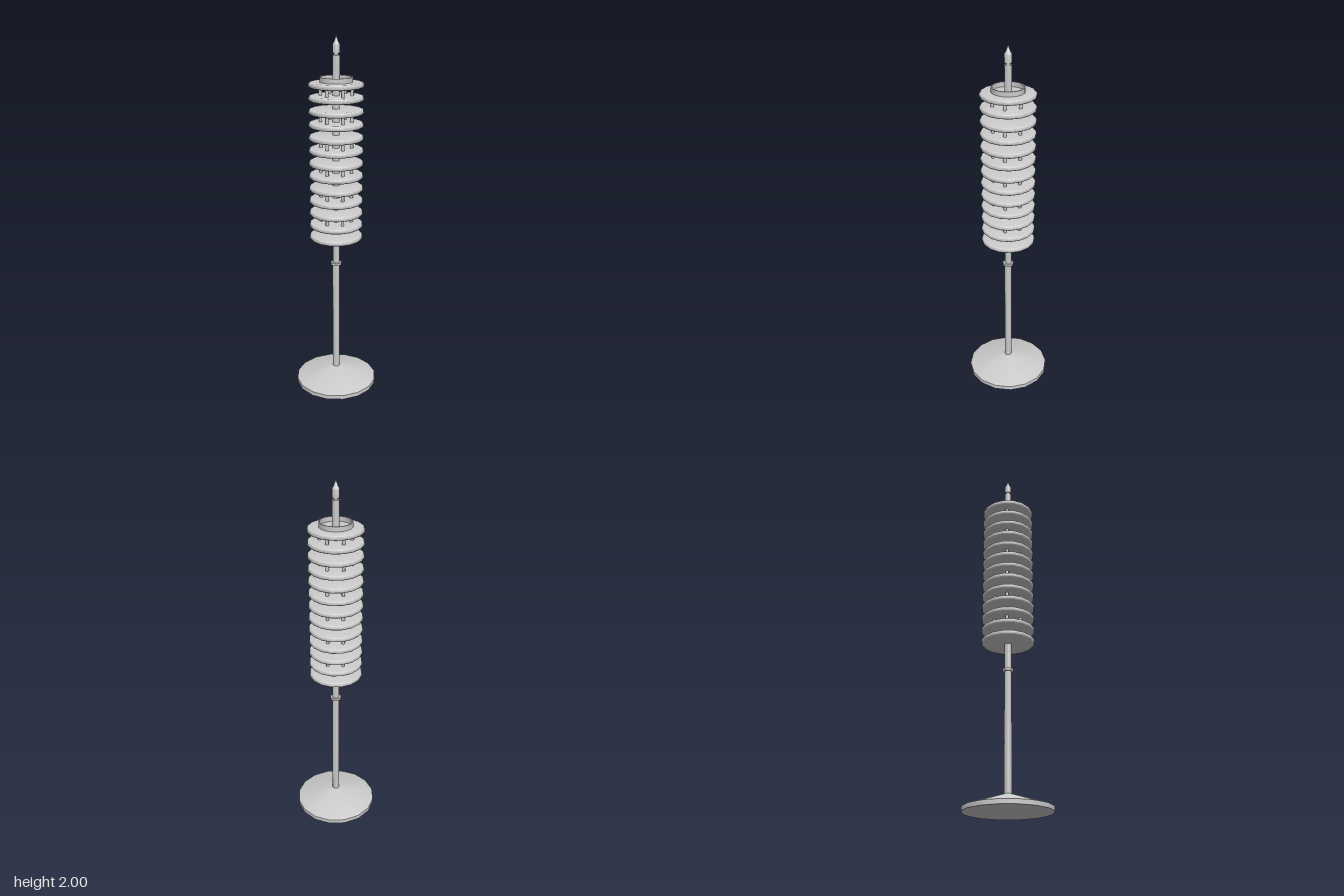
import * as THREE from 'three';
import { toCreasedNormals } from 'three/addons/utils/BufferGeometryUtils.js';

const material = new THREE.MeshStandardMaterial({ color: 0xcccccc });

// Turned part from [radius, height] points listed from bottom to top
function turned(name, points, sides = 16, crease = 0.6) {
  const profile = points.map(([r, y]) => new THREE.Vector2(r, y));
  const geometry = toCreasedNormals(new THREE.LatheGeometry(profile, sides), crease);
  const mesh = new THREE.Mesh(geometry, material);
  mesh.name = name;
  return mesh;
}

export function createModel() {
  const model = new THREE.Group();
  model.name = 'discLampStand';

  // Weighted foot with a shallow conical top
  model.add(turned('base', [[0, 0], [0.233, 0], [0.233, 0.024], [0.02, 0.09], [0, 0.09]], 16, 0.45));

  // Pole in two lengths, with the joint collar
  model.add(turned('lowerPole', [[0, 0.08], [0.02, 0.08], [0.02, 0.75], [0, 0.75]]));
  model.add(turned('upperPole', [[0, 0.74], [0.019, 0.74], [0.019, 1.9], [0, 1.9]]));
  model.add(turned('collar', [[0.018, 0.742], [0.03, 0.742], [0.03, 0.755], [0.018, 0.755]]));

  // Pointed finial on a narrow neck
  model.add(turned('finial', [
    [0, 1.89], [0.013, 1.89], [0.013, 1.91], [0.019, 1.91], [0.019, 1.955],
    [0.0125, 1.965], [0, 2],
  ]));

  // Stack of thirteen discs with rounded rims
  const count = 13, bottom = 0.915, step = 0.0696, half = 0.014, radius = 0.148;
  const discProfile = [[0, -half]];
  for (let i = 0; i <= 6; i++) {
    const a = -Math.PI / 2 + (i / 6) * Math.PI;
    discProfile.push([radius - half + half * Math.cos(a), half * Math.sin(a)]);
  }
  discProfile.push([0, half]);
  const disc = turned('disc', discProfile, 16, 0.7);
  const discs = new THREE.Group();
  discs.name = 'discs';
  for (let i = 0; i < count; i++) {
    const copy = disc.clone();
    copy.position.y = bottom + i * step;
    discs.add(copy);
  }
  model.add(discs);

  // Six spacer rods in every second gap
  const rodGeometry = new THREE.CylinderGeometry(0.009, 0.009, step, 10);
  const rods = new THREE.Group();
  rods.name = 'spacerRods';
  for (let gap = 1; gap < count - 1; gap += 2) {
    for (let k = 0; k < 6; k++) {
      const a = (k * Math.PI) / 3;
      const rod = new THREE.Mesh(rodGeometry, material);
      rod.name = 'spacerRod';
      rod.position.set(0.083 * Math.cos(a), bottom + (gap + 0.5) * step, 0.083 * Math.sin(a));
      rods.add(rod);
    }
  }
  model.add(rods);

  // Open ring on the top disc
  model.add(turned('topRing', [
    [0.082, 1.755], [0.088, 1.755], [0.088, 1.79], [0.082, 1.79], [0.082, 1.755],
  ]));

  return model;
}
